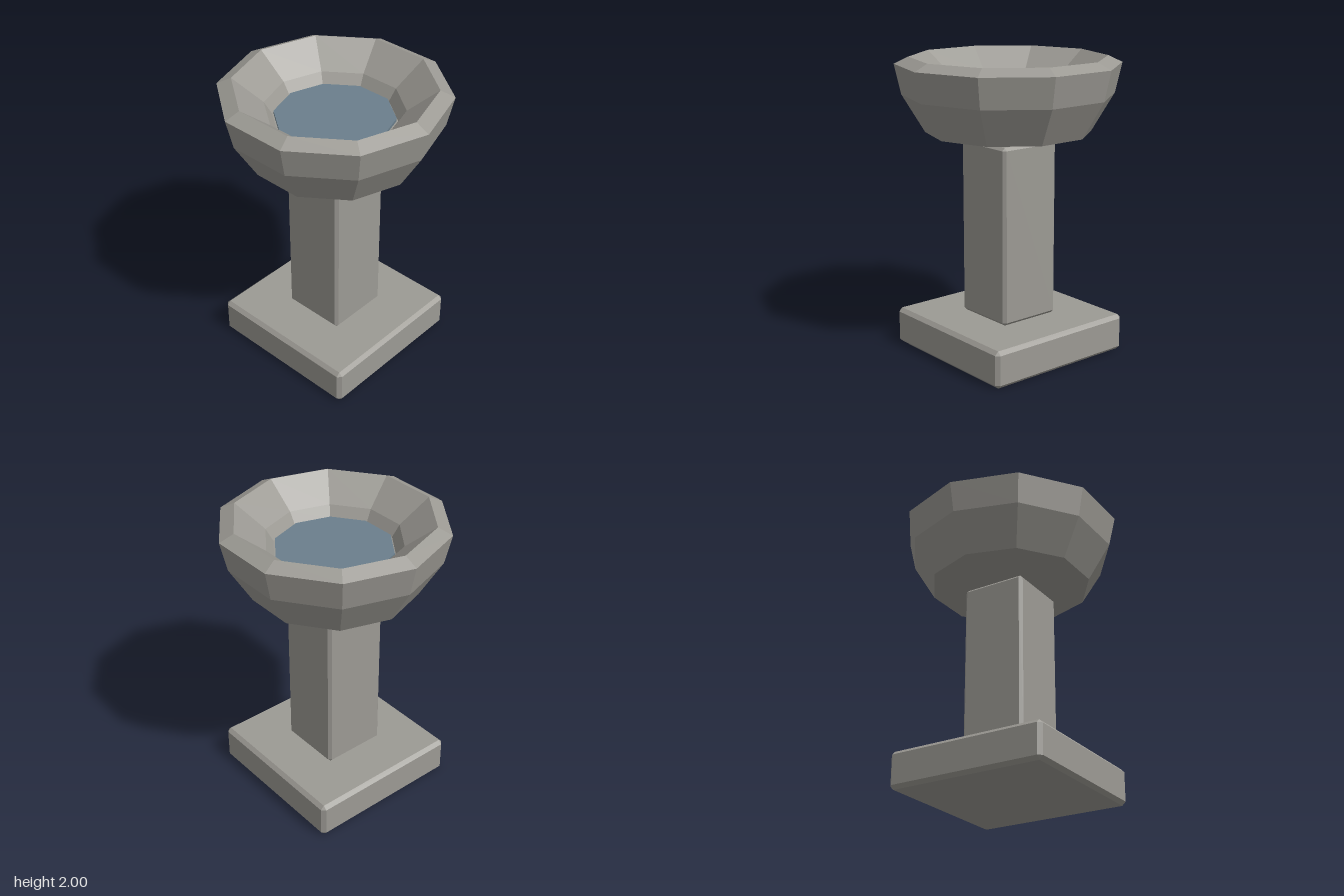
import * as THREE from 'three';
import { ConvexGeometry } from 'three/addons/geometries/ConvexGeometry.js';

// Box with one flat chamfer on every edge
function chamferBox(w, h, d, c) {
  const points = [];
  for (const x of [-1, 1]) for (const y of [-1, 1]) for (const z of [-1, 1]) {
    for (let axis = 0; axis < 3; axis++) {
      const inset = [c, c, c];
      inset[axis] = 0;
      points.push(new THREE.Vector3(
        x * (w / 2 - inset[0]), y * (h / 2 - inset[1]), z * (d / 2 - inset[2])));
    }
  }
  return new ConvexGeometry(points);
}

export function createModel() {
  const group = new THREE.Group();
  const stone = new THREE.MeshStandardMaterial({ name: 'stone', color: 0x9c9a94, flatShading: true });
  const water = new THREE.MeshStandardMaterial({ name: 'water', color: 0x6b7f8c, flatShading: true });

  function add(name, geometry, material, y) {
    const mesh = new THREE.Mesh(geometry, material);
    mesh.name = name;
    mesh.position.y = y;
    group.add(mesh);
  }

  // Square foot and pillar
  add('base', chamferBox(1.1, 0.25, 1.1, 0.025), stone, 0.125);
  add('pillar', chamferBox(0.45, 1.2, 0.45, 0.02), stone, 0.85);

  // Ten-sided bowl: underside, outer wall, rim, inner wall, floor
  const profile = [
    [0, 1.45], [0.2, 1.45], [0.55, 1.505], [0.7, 1.755], [0.745, 1.955],
    [0.65, 2], [0.45, 1.84], [0.4, 1.76], [0, 1.76],
  ].map(([r, y]) => new THREE.Vector2(r, y));
  add('bowl', new THREE.LatheGeometry(profile, 10, Math.PI / 2), stone, 0);

  // Shallow disc of water on the bowl floor
  add('water', new THREE.CylinderGeometry(0.39, 0.39, 0.02, 10, 1, false, Math.PI / 2), water, 1.77);

  return group;
}
